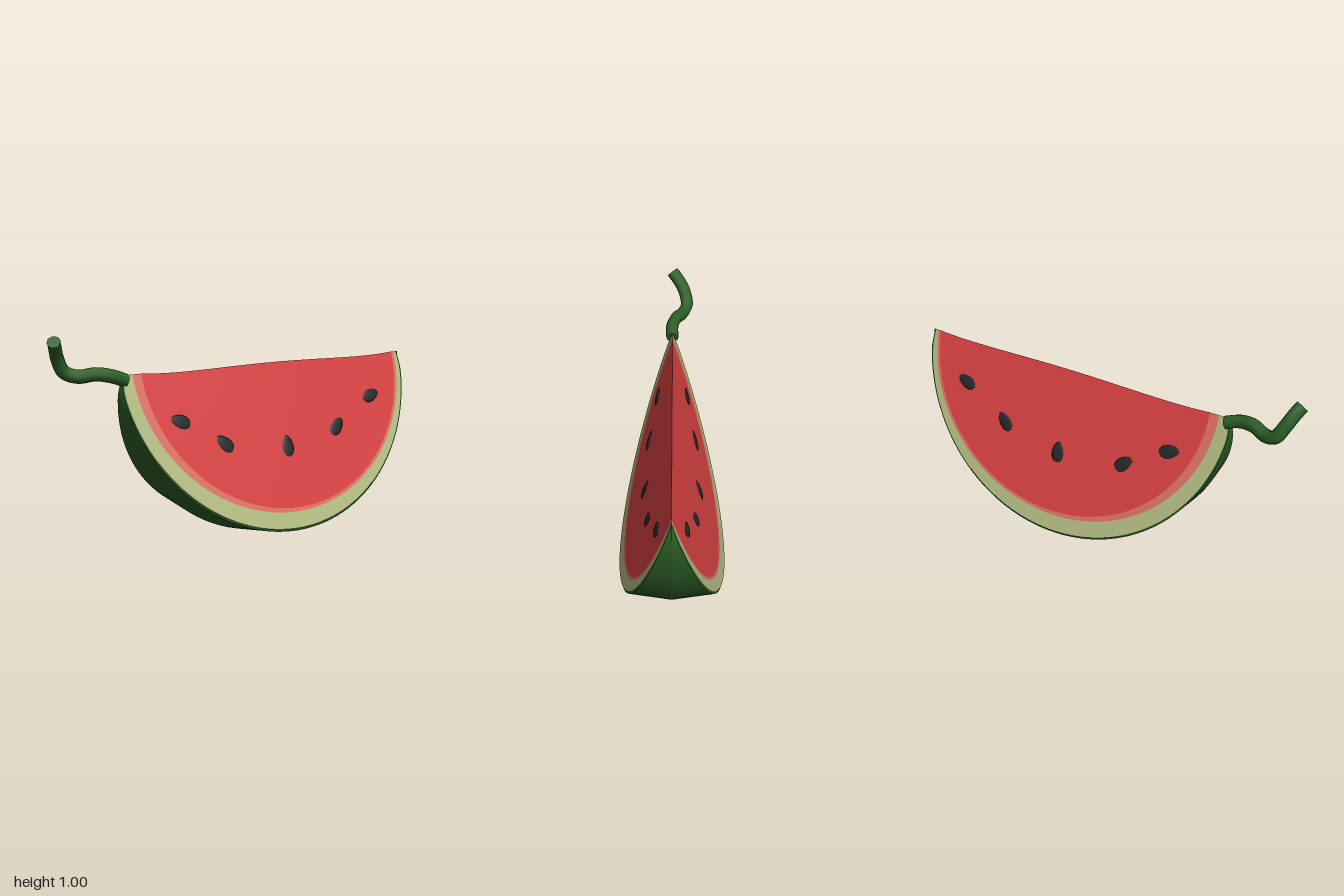
import * as THREE from 'three';

const mat = (name, color) => {
  const m = new THREE.MeshStandardMaterial({ color });
  m.name = name;
  return m;
};

const TOP = 0.81, SEG = 64;
const SLOPE = 0.25 / 0.755; // half width gained per unit of depth

// Half-ellipse hanging from the ridge, spanning x0..x1; round softens the top corners
function arc(x0, x1, depth, width, round = 0) {
  const pts = [];
  for (let i = 0; i <= SEG; i++) {
    const a = Math.PI * (1 - i / SEG), c = Math.cos(a), s = Math.sin(a);
    const x = (x0 + x1) / 2 + c * ((x1 - x0) / 2 - round * Math.exp(-((s / 0.07) ** 2)));
    pts.push(new THREE.Vector3(x, TOP - depth * s, width * s));
  }
  return pts;
}

// Surface between an inner (upper) and an outer (lower) curve, mirrored in z by side
function strip(inner, outer, side, rows = 1) {
  const pos = [], idx = [], n = SEG + 1;
  for (let r = 0; r <= rows; r++)
    for (let i = 0; i < n; i++) {
      const p = inner[i].clone().lerp(outer[i], r / rows);
      pos.push(p.x, p.y, p.z * side);
    }
  for (let r = 0; r < rows; r++)
    for (let i = 0; i < SEG; i++) {
      const a = r * n + i, b = a + 1, c = a + n, d = c + 1;
      if (side > 0) idx.push(a, c, b, b, c, d);
      else idx.push(a, b, c, b, d, c);
    }
  const g = new THREE.BufferGeometry();
  g.setAttribute('position', new THREE.Float32BufferAttribute(pos, 3));
  g.setIndex(idx);
  g.computeVertexNormals();
  return g;
}

export function createModel() {
  const green = mat('rind green', 0x2d5f26);
  const pale = mat('pale rind', 0xb3bc82);
  const pink = mat('pink edge', 0xdd7066);
  const red = mat('red flesh', 0xd94142);
  const black = mat('seed black', 0x232827);

  const model = new THREE.Group();
  model.name = 'melonSlice';
  const add = (name, geo, material, parent = model) => {
    const m = new THREE.Mesh(geo, material);
    m.name = name;
    parent.add(m);
    return m;
  };

  // Nested outlines of the cut face, then the skin edge and the keel
  const face = (x0, x1, depth, round) => arc(x0, x1, depth, depth * SLOPE, round);
  const pinkIn = face(-0.54, 0.935, 0.665);
  const paleIn = face(-0.585, 0.95, 0.682);
  const edge = face(-0.645, 0.975, 0.755, 0.012);
  const bevel = arc(-0.65, 0.983, 0.768, 0.245, 0.014);
  const keel = arc(-0.652, 0.99, 0.806, 0, 0.016);
  const ridge = pinkIn.map((p, i) => new THREE.Vector3(
    p.x, TOP - 0.008 * Math.sin(2 * Math.PI * i / SEG) ** 2, 0));

  // Teardrop seed, pointed towards the ridge
  const seedGeo = new THREE.SphereGeometry(1, 8, 6);
  const sp = seedGeo.attributes.position;
  for (let i = 0; i < sp.count; i++) {
    const y = sp.getY(i), w = 0.032 * (1 - 0.2 * y);
    sp.setXYZ(i, sp.getX(i) * w, y * 0.052, sp.getZ(i) * 0.006);
  }
  seedGeo.computeVertexNormals();
  const seeds = [[-0.38, 0.588], [-0.165, 0.47], [0.185, 0.425], [0.497, 0.485], [0.745, 0.612]];

  for (const side of [1, -1]) {
    const half = new THREE.Group();
    half.name = side > 0 ? 'frontHalf' : 'backHalf';
    model.add(half);
    add('flesh', strip(ridge, pinkIn, side, 6), red, half);
    add('fleshEdge', strip(pinkIn, paleIn, side), pink, half);
    add('innerRind', strip(paleIn, edge, side), pale, half);
    add('rindEdge', strip(edge, bevel, side), green, half);
    add('rind', strip(bevel, keel, side, 3), green, half);
    for (const [x, y] of seeds) {
      const s = add('seed', seedGeo, black, half);
      s.position.set(x, y, side * (TOP - y) * SLOPE);
      s.rotation.set(-side * Math.atan(SLOPE), 0, Math.atan2(0.18 - x, 0.8 - y));
    }
  }

  // Curled stem with closed ends
  const path = new THREE.CatmullRomCurve3([
    [-0.62, 0.785, 0], [-0.69, 0.81, 0.002], [-0.76, 0.822, -0.018], [-0.83, 0.813, -0.05],
    [-0.885, 0.835, -0.073], [-0.925, 0.9, -0.057], [-0.95, 0.95, -0.025], [-0.968, 0.978, 0],
  ].map(p => new THREE.Vector3(...p)));
  const stem = new THREE.Group();
  stem.name = 'stem';
  model.add(stem);
  add('stemTube', new THREE.TubeGeometry(path, 28, 0.031, 8), green, stem);
  for (const t of [0, 1]) {
    const cap = add('stemCap', new THREE.CircleGeometry(0.031, 8), green, stem);
    cap.position.copy(path.getPointAt(t));
    cap.quaternion.setFromUnitVectors(new THREE.Vector3(0, 0, 1),
      path.getTangentAt(t).multiplyScalar(t ? 1 : -1));
  }
  return model;
}
